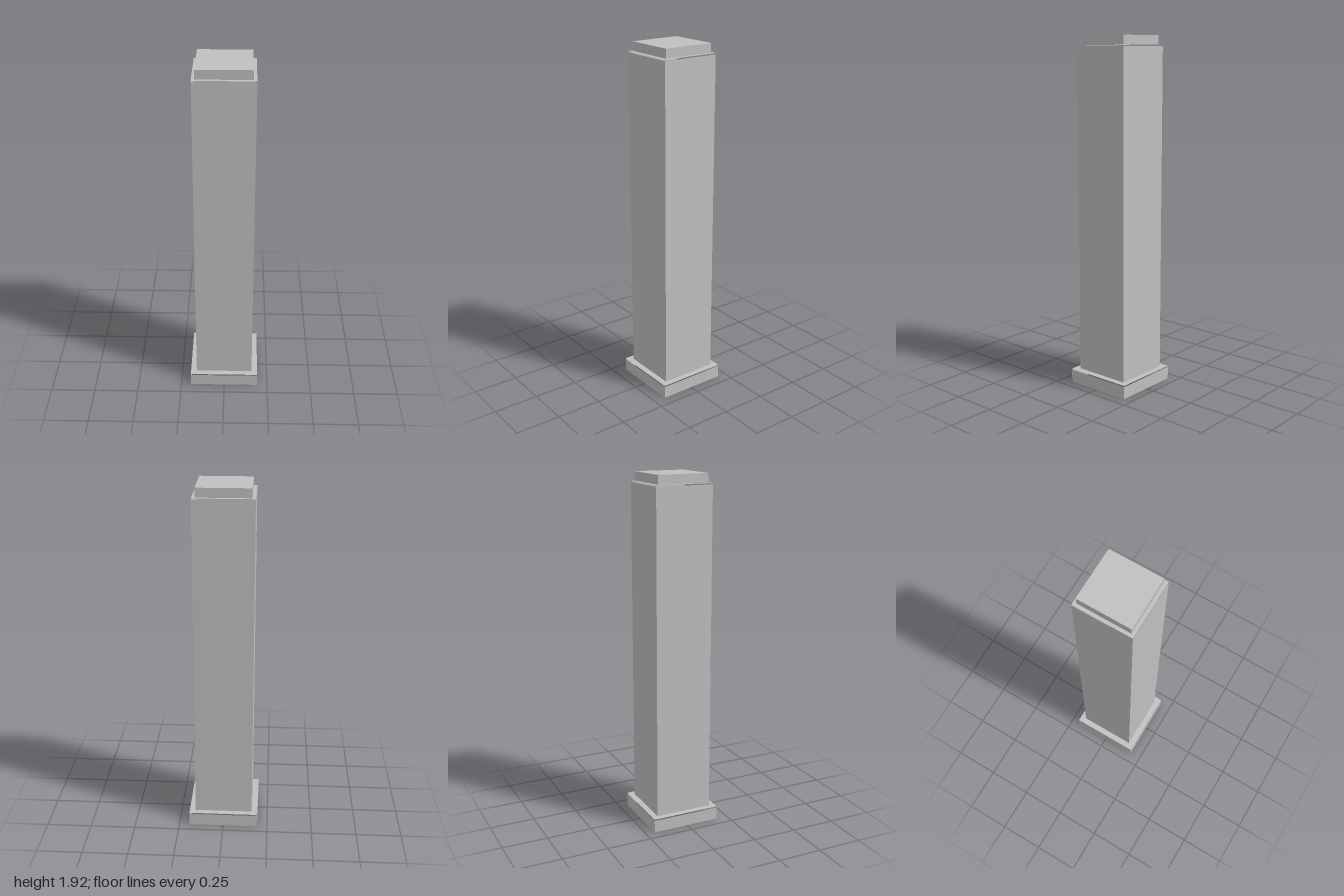
import * as THREE from 'three';

// Square pillar: hollow plinth and shaft, each covered by a thin lid, with a solid cap
export function createModel() {
  const model = new THREE.Group();
  const stone = new THREE.MeshStandardMaterial({ color: 0xbfbfbf, side: THREE.DoubleSide });
  stone.name = 'paleGrey';

  const add = (name, geometry, y) => {
    const mesh = new THREE.Mesh(geometry, stone);
    mesh.name = name;
    mesh.position.set(-0.001, y, -0.008);
    model.add(mesh);
  };

  // Four thin walls around a square, open above and below
  const walls = (name, width, bottom, top) => {
    const r = width / Math.SQRT2;
    const tube = new THREE.CylinderGeometry(r, r, top - bottom, 4, 1, true);
    const flat = tube.rotateY(Math.PI / 4).toNonIndexed();
    flat.computeVertexNormals();
    add(name, flat, (bottom + top) / 2);
  };

  // Thin square sheet facing up
  const lid = (name, width, y) =>
    add(name, new THREE.PlaneGeometry(width, width).rotateX(-Math.PI / 2), y);

  // Plinth, with a narrow shadow gap below its lid
  walls('plinthWalls', 0.385, 0.004, 0.073);
  lid('plinthLid', 0.385, 0.08);

  // Shaft, with the same gap
  walls('shaftWalls', 0.319, 0.08, 1.869);
  lid('shaftLid', 0.319, 1.876);

  // Cap
  add('cap', new THREE.BoxGeometry(0.285, 0.049, 0.285), 1.901);

  return model;
}
